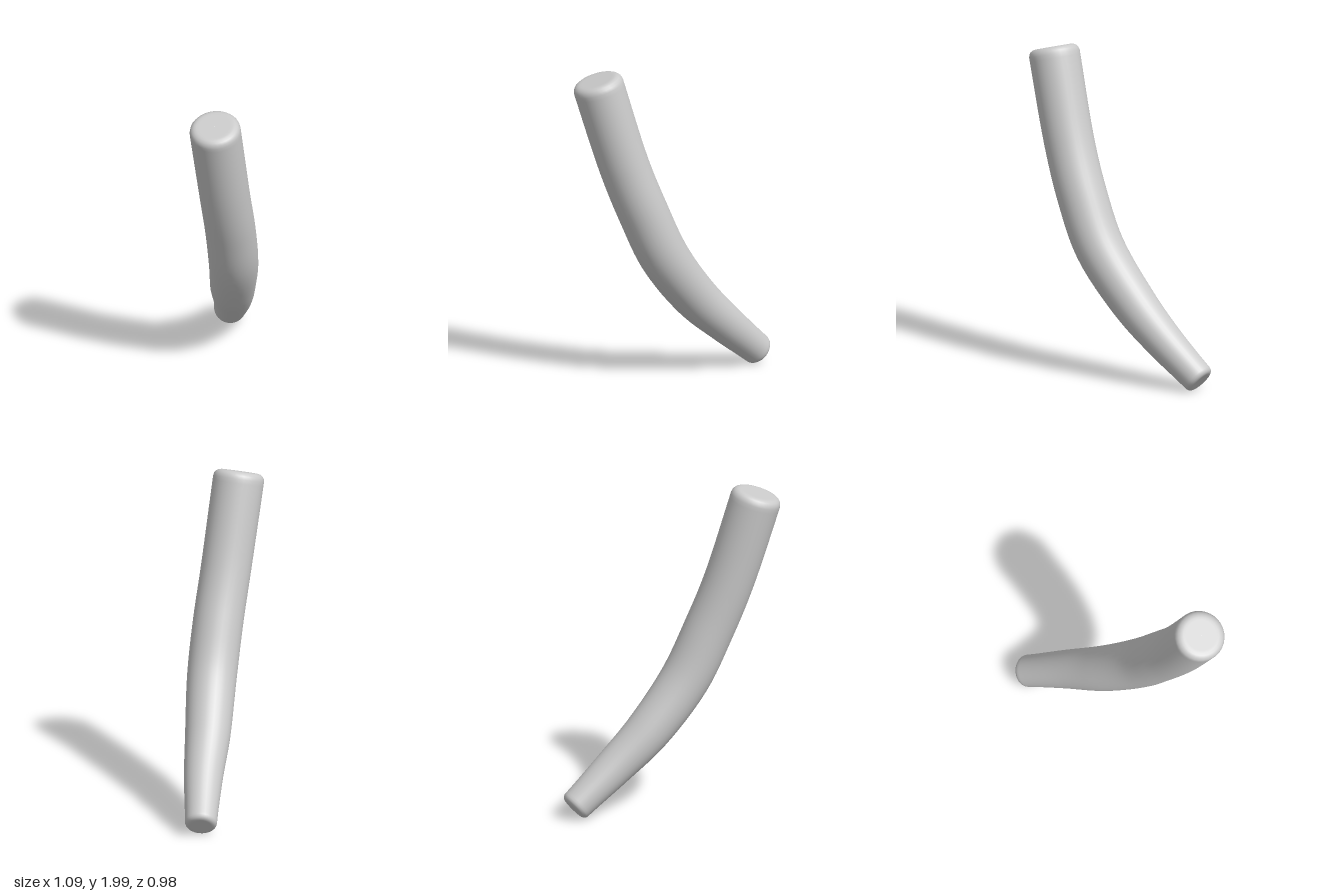
import * as THREE from 'three';

// Bent, tapering rod: centre line points with a radius at each, top to bottom
const STATIONS = [
  [-0.40, 1.963, 0.335, 0.155],
  [-0.24, 1.40, 0.26, 0.152],
  [-0.135, 1.10, 0.20, 0.152],
  [-0.02, 0.80, 0.11, 0.150],
  [0.145, 0.50, -0.065, 0.137],
  [0.295, 0.30, -0.22, 0.118],
  [0.475, 0.07, -0.43, 0.096],
];
const RINGS = 56, SIDES = 32;

function rodGeometry() {
  const path = new THREE.CatmullRomCurve3(STATIONS.map(([x, y, z]) => new THREE.Vector3(x, y, z)));
  const radii = new THREE.SplineCurve(STATIONS.map((s, i) => new THREE.Vector2(i, s[3])));
  const ends = [path.getPoint(0), path.getPoint(1)];
  const across = new THREE.Vector3(0.66, 0, 0.75).normalize(); // normal of the bend's plane
  const positions = [], index = [];

  const addRing = (t, scale = 1) => {
    const centre = path.getPoint(t), tangent = path.getTangent(t);
    const up = new THREE.Vector3().crossVectors(tangent, across).normalize();
    const side = new THREE.Vector3().crossVectors(up, tangent);
    // Round the rims over the last stretch at either end
    const edge = t < 0.5 ? 0.045 : 0.03;
    const gap = Math.max(0, edge - Math.min(...ends.map((e) => e.distanceTo(centre))));
    const r = scale * (radii.getPoint(t).y - edge + Math.sqrt(edge * edge - gap * gap));
    for (let j = 0; j < SIDES; j++) {
      const a = (j / SIDES) * Math.PI * 2;
      const p = centre.clone().addScaledVector(side, r * Math.cos(a)).addScaledVector(up, r * Math.sin(a));
      positions.push(p.x, p.y, p.z);
    }
  };

  // Flat cap rings at both ends, body rings packed closer towards the rims
  addRing(0, 0.01);
  addRing(0, 0.85);
  for (let i = 0; i <= RINGS; i++) addRing((1 - Math.cos((Math.PI * i) / RINGS)) / 2);
  addRing(1, 0.85);
  addRing(1, 0.01);

  const count = positions.length / 3 / SIDES;
  for (let i = 0; i < count - 1; i++) {
    for (let j = 0; j < SIDES; j++) {
      const k = (j + 1) % SIDES;
      const a = i * SIDES + j, b = i * SIDES + k, c = a + SIDES, d = b + SIDES;
      index.push(a, b, c, b, d, c);
    }
  }
  const geometry = new THREE.BufferGeometry();
  geometry.setAttribute('position', new THREE.Float32BufferAttribute(positions, 3));
  geometry.setIndex(orientOutward(positions, index));
  geometry.computeVertexNormals();
  return geometry;
}

// Flip the winding if the enclosed volume comes out negative
function orientOutward(positions, index) {
  const at = (i) => new THREE.Vector3().fromArray(positions, i * 3);
  let volume = 0;
  for (let i = 0; i < index.length; i += 3) {
    volume += at(index[i]).dot(at(index[i + 1]).cross(at(index[i + 2])));
  }
  return volume < 0 ? index.reverse() : index;
}

export function createModel() {
  const group = new THREE.Group();
  group.name = 'bentRod';
  const rod = new THREE.Mesh(rodGeometry(), new THREE.MeshStandardMaterial({ color: 0xcccccc }));
  rod.name = 'rod';
  group.add(rod);
  return group;
}
